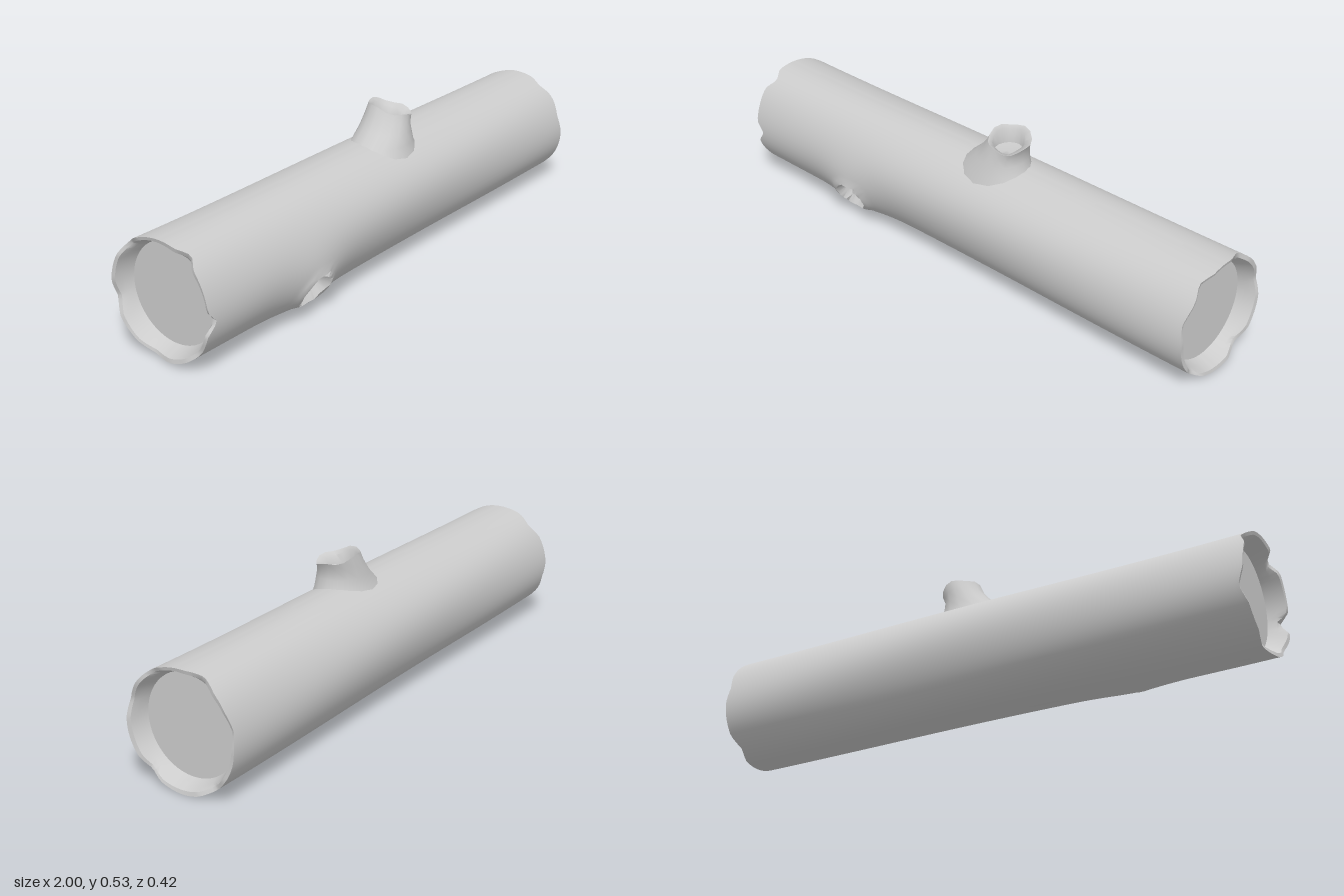
import * as THREE from 'three';
import { toCreasedNormals } from 'three/addons/utils/BufferGeometryUtils.js';

// Skin a series of closed loops; point(i, angle) returns [x, y, z]
function skin(name, loops, sides, point, crease) {
  const pos = [], index = [];
  for (let i = 0; i < loops; i++)
    for (let j = 0; j < sides; j++) pos.push(...point(i, (j / sides) * Math.PI * 2));
  for (let i = 0; i < loops - 1; i++)
    for (let j = 0; j < sides; j++) {
      const k = (j + 1) % sides;
      const a = i * sides + j, b = a + sides, c = (i + 1) * sides + k, d = i * sides + k;
      index.push(a, b, c, a, c, d);
    }
  const geo = new THREE.BufferGeometry();
  geo.setAttribute('position', new THREE.Float32BufferAttribute(pos, 3));
  geo.setIndex(index);
  const material = new THREE.MeshStandardMaterial({ color: 0xcccccc, side: THREE.DoubleSide });
  const mesh = new THREE.Mesh(toCreasedNormals(geo, crease), material);
  mesh.name = name;
  return mesh;
}

const wrap = (a) => Math.atan2(Math.sin(a), Math.cos(a));

// Broken rim: sum of notches [angle, depth, half width]; angle 0 faces front, PI/2 is up
const chips = (list, a) => list.reduce(
  (sum, [at, depth, width]) => sum + depth * Math.max(0, 1 - Math.abs(wrap(a - at)) / width), 0);
const leftChips = [[0.98, 0.03, 0.22], [-0.1, 0.035, 0.2], [-0.75, 0.012, 0.3], [2.3, 0.025, 0.3],
  [3.4, 0.02, 0.3], [4.5, 0.015, 0.35]];
const rightChips = [[1.0, 0.018, 0.25], [0.3, 0.012, 0.3], [-0.9, 0.016, 0.25], [2.0, 0.022, 0.3],
  [2.9, 0.012, 0.3], [4.1, 0.02, 0.3]];

// Swelling with a sunken hole, low on the front
const knot = { x: -0.495, angle: -0.53 };
function knotOffset(x, a) {
  const u = x - knot.x, v = wrap(a - knot.angle) * 0.21;
  const swell = 0.024 * Math.exp(-(u * u) / 0.016 - (v * v) / 0.013);
  const d = Math.hypot(u / 0.062, v / 0.052);
  const lip = 0.006 * Math.exp(-(((d - 1.2) / 0.25) ** 2));
  const hole = 0.055 * (1 - THREE.MathUtils.smoothstep(d, 0.72, 1.05));
  return swell + lip - hole;
}

// Trunk: cap, hollow rim, bark, hollow rim, cap in one skin
function trunk() {
  const bark = 130;
  const end = [[0, 0.935], [0.17, 0.935], [0.18, 0.965], [0.19, 0.994]]; // [radius, distance]
  const n = end.length;
  const place = (x, r, a) => [
    x,
    0.212 - 0.004 * x + 0.003 * Math.cos(x * 4) + r * Math.sin(a),
    -0.006 + r * Math.cos(a),
  ];
  return skin('trunk', bark + 2 * n, 80, (i, a) => {
    const left = -0.999 + chips(leftChips, a), right = 0.996 - chips(rightChips, a);
    if (i < n) {
      const [r, d] = end[i];
      return place(i === n - 1 ? left + 0.003 : -d, r, a);
    }
    if (i >= n + bark) {
      const k = 2 * n + bark - 1 - i;
      const [r, d] = end[k];
      return place(k === n - 1 ? right - 0.003 : d, r, a);
    }
    const x = THREE.MathUtils.lerp(left, right, (i - n) / (bark - 1));
    const uneven = 0.002 * Math.sin(3 * a + 2 * x) + 0.0015 * Math.sin(5 * a - 3 * x);
    return place(x, 0.202 + uneven + knotOffset(x, a), a);
  }, 0.7);
}

// Hollow broken stub leaning toward +x: [minX, maxX, minZ, maxZ, y, rim tilt]
function branchStub() {
  const rings = [
    [-0.09, 0.225, -0.11, 0.13, 0.36, 0],
    [-0.045, 0.2, -0.085, 0.115, 0.405, 0.1],
    [0.005, 0.188, -0.075, 0.105, 0.445, 0.3],
    [0.04, 0.186, -0.069, 0.095, 0.48, 0.7],
    [0.056, 0.198, -0.063, 0.089, 0.51, 1],
    [0.066, 0.172, -0.05, 0.068, 0.5, 0.9],
    [0.07, 0.16, -0.043, 0.058, 0.465, 0],
    [0.115, 0.115, 0.01, 0.01, 0.46, 0],
  ];
  return skin('branchStub', rings.length, 16, (i, a) => {
    const [x0, x1, z0, z1, y, tilt] = rings[i];
    const c = Math.cos(a), s = Math.sin(a);
    return [
      (x0 + x1) / 2 + ((x1 - x0) / 2) * c,
      y + tilt * (-0.013 * c - 0.015 * s + 0.005 * Math.sin(4 * a + 1)),
      (z0 + z1) / 2 + ((z1 - z0) / 2) * s,
    ];
  }, 0.9);
}

export function createModel() {
  const log = new THREE.Group();
  log.name = 'hollowLog';
  log.add(trunk(), branchStub());
  return log;
}
